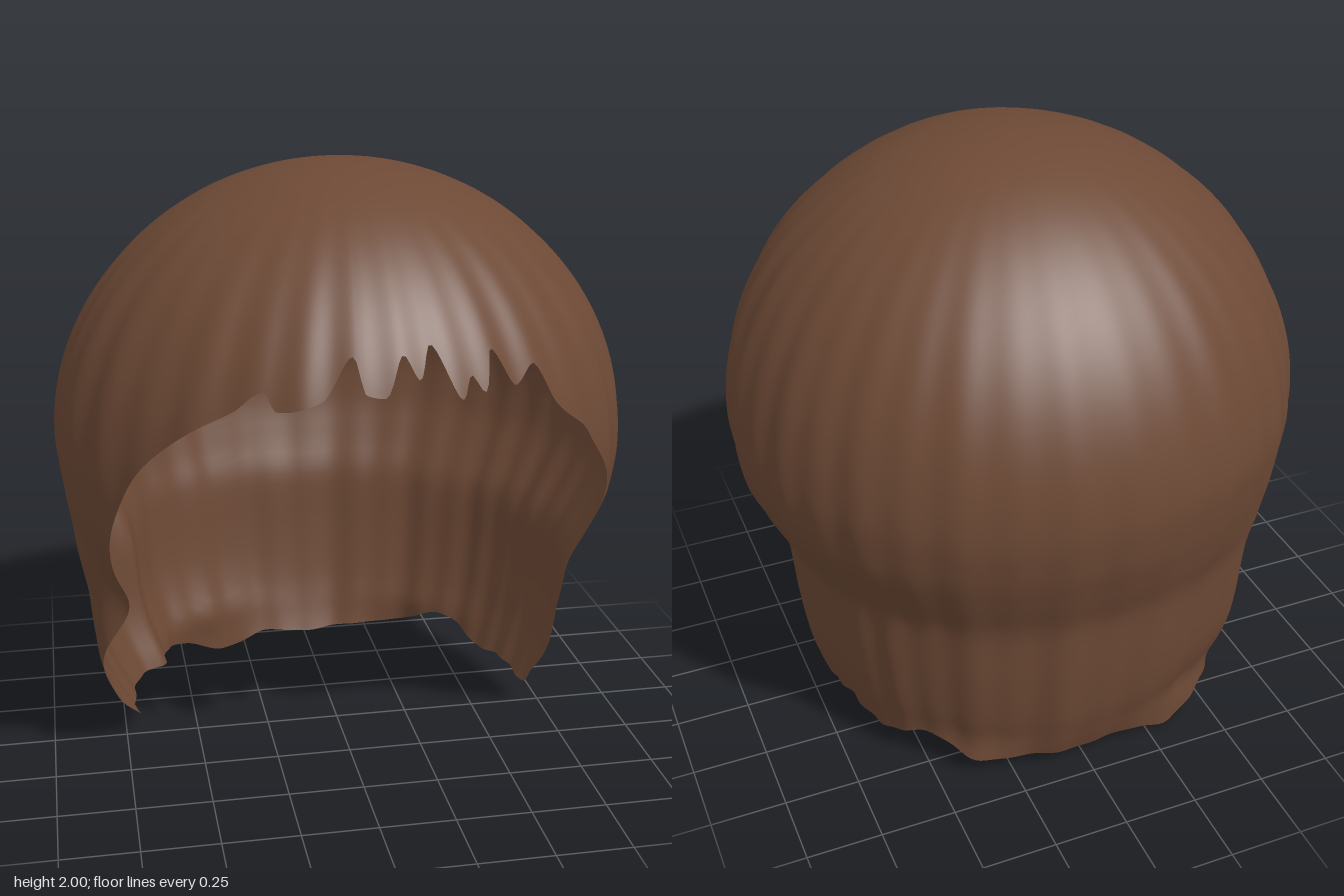
import * as THREE from 'three';

const CENTER = 1.1;   // height of the widest ring
const RISE = 0.9;     // dome height above it
const COLS = 480, ROWS = 64;

// Smooth curve through [x, y] points, flat at each peak and dip
function curve(points) {
  const slope = points.map((p, i) => {
    if (i === 0 || i === points.length - 1) return 0;
    const a = (p[1] - points[i - 1][1]) / (p[0] - points[i - 1][0]);
    const b = (points[i + 1][1] - p[1]) / (points[i + 1][0] - p[0]);
    return a * b <= 0 ? 0 : (2 * a * b) / (a + b);
  });
  return (x) => {
    let i = 0;
    while (i < points.length - 2 && x > points[i + 1][0]) i++;
    const [x0, y0] = points[i], [x1, y1] = points[i + 1];
    const h = x1 - x0, t = THREE.MathUtils.clamp((x - x0) / h, 0, 1), u = 1 - t;
    return y0 * (1 + 2 * t) * u * u + slope[i] * h * t * u * u
      + y1 * t * t * (3 - 2 * t) - slope[i + 1] * h * t * t * u;
  };
}

// Bell-shaped weight around a middle value
const bell = (x, mid, width) => Math.exp(-(((x - mid) / width) ** 2));

// Hem height by angle in degrees: 0 is the front, 90 the left side
const hemHeight = curve([
  [-180, 0.035], [-167, 0.05], [-152, 0], [-138, 0.07], [-125, 0.1], [-105, 0.09], [-92, 0.07],
  [-84, 0.16], [-76, 0.36], [-67, 0.62], [-57, 1.0], [-47, 1.22], [-37, 1.34], [-30, 1.4],
  [-24.4, 1.46], [-21.5, 1.41], [-13.3, 1.44], [-7.3, 1.56], [-5, 1.46], [-1.5, 1.45],
  [2.6, 1.56], [5.5, 1.49], [8.6, 1.58], [13.5, 1.43], [16.3, 1.49], [18.5, 1.44],
  [22, 1.55], [26.5, 1.44], [32, 1.49], [36, 1.37], [47, 1.23], [57, 1.0], [67, 0.62],
  [76, 0.36], [84, 0.16], [92, 0.07], [105, 0.09], [118, 0.07], [135, 0.14], [150, 0.07],
  [168, 0.05], [180, 0.035],
]);

// How far the hair draws in below the widest ring
const taper = curve([
  [0, 0.74], [0.1, 0.775], [0.25, 0.82], [0.45, 0.852], [0.65, 0.873],
  [0.8, 0.93], [0.95, 0.98], [1.1, 1],
]);

function radiusAt(a, y, phi) {
  const { smoothstep } = THREE.MathUtils;
  const c = Math.cos(a), s = Math.sin(a);
  const front = Math.max(0, c), back = Math.max(0, -c);
  const left = Math.max(0, s), right = Math.max(0, -s);
  const deg = THREE.MathUtils.radToDeg(a);
  const ring = 0.934 - 0.012 * front ** 2 + 0.025 * front ** 8 - 0.05 * back ** 3;
  // fine strands fanning from the crown, calmer at the back
  const strands = (1 - 0.5 * back)
    * (0.0055 * Math.sin(34 * a + 1.5 * Math.sin(3 * a)) + 0.004 * Math.sin(19 * a + 2));
  if (phi < Math.PI / 2) {
    const p = Math.sin(phi);
    return ring * p + strands * p * p * p;
  }
  // lower lengths: fuller right side, slimmer left and flared nape corners
  const low = smoothstep(CENTER - y, 0.2, 0.6);
  const full = 0.05 * right * smoothstep(CENTER - y, 0.1, 0.5) * smoothstep(y, 0.05, 0.38);
  const slim = 0.032 * left ** 2 * smoothstep(CENTER - y, 0.15, 0.45);
  const flare = 0.075 * bell(Math.abs(deg), 143, 18) * (1 - smoothstep(y, 0, 0.18));
  // tucked front edge and a deep fold behind the right side
  const tuck = 0.06 * bell(deg, -66, 6) * bell(y, 0.6, 0.17);
  const fold = 0.05 * bell(deg, -119, 5) * low;
  const locks = 0.009 * low * (0.55 + 0.45 * right) * Math.sin(13 * a + 1.2 * Math.sin(2 * a));
  const drop = 0.07 * right ** 4 * low * smoothstep(y, 0.05, 0.35);
  return ring * (taper(y + drop) + full - slim + flare - tuck - fold) + strands + locks;
}

// One continuous shell swept from the crown down to the hem
function hairGeometry() {
  const lean = 0.03;   // the crown sits slightly forward
  const pos = [0, CENTER + RISE, lean], index = [];
  for (let i = 1; i <= ROWS; i++) {
    for (let j = 0; j < COLS; j++) {
      const a = (j / COLS) * Math.PI * 2 - Math.PI;
      const hem = hemHeight(THREE.MathUtils.radToDeg(a));
      const end = hem > CENTER
        ? Math.acos((hem - CENTER) / RISE)
        : Math.PI / 2 + (CENTER - hem) / RISE;
      const phi = (end * i) / ROWS;
      const y = phi < Math.PI / 2
        ? CENTER + RISE * Math.cos(phi)
        : CENTER - RISE * (phi - Math.PI / 2);
      const r = radiusAt(a, y, phi);
      pos.push(r * Math.sin(a), y, r * Math.cos(a) + lean * Math.max(0, Math.cos(phi)));
    }
  }
  const at = (i, j) => 1 + (i - 1) * COLS + (j % COLS);
  for (let j = 0; j < COLS; j++) {
    index.push(0, at(1, j), at(1, j + 1));
    for (let i = 1; i < ROWS; i++) {
      index.push(at(i, j), at(i + 1, j), at(i + 1, j + 1));
      index.push(at(i, j), at(i + 1, j + 1), at(i, j + 1));
    }
  }
  const geo = new THREE.BufferGeometry();
  geo.setAttribute('position', new THREE.Float32BufferAttribute(pos, 3));
  geo.setIndex(index);
  geo.computeVertexNormals();
  return geo;
}

export function createModel() {
  const brown = new THREE.MeshStandardMaterial({ color: 0x6d4935, side: THREE.DoubleSide });
  brown.name = 'chestnut brown';
  const hair = new THREE.Mesh(hairGeometry(), brown);
  hair.name = 'hair';
  const group = new THREE.Group();
  group.name = 'bobHairstyle';
  group.add(hair);
  return group;
}
